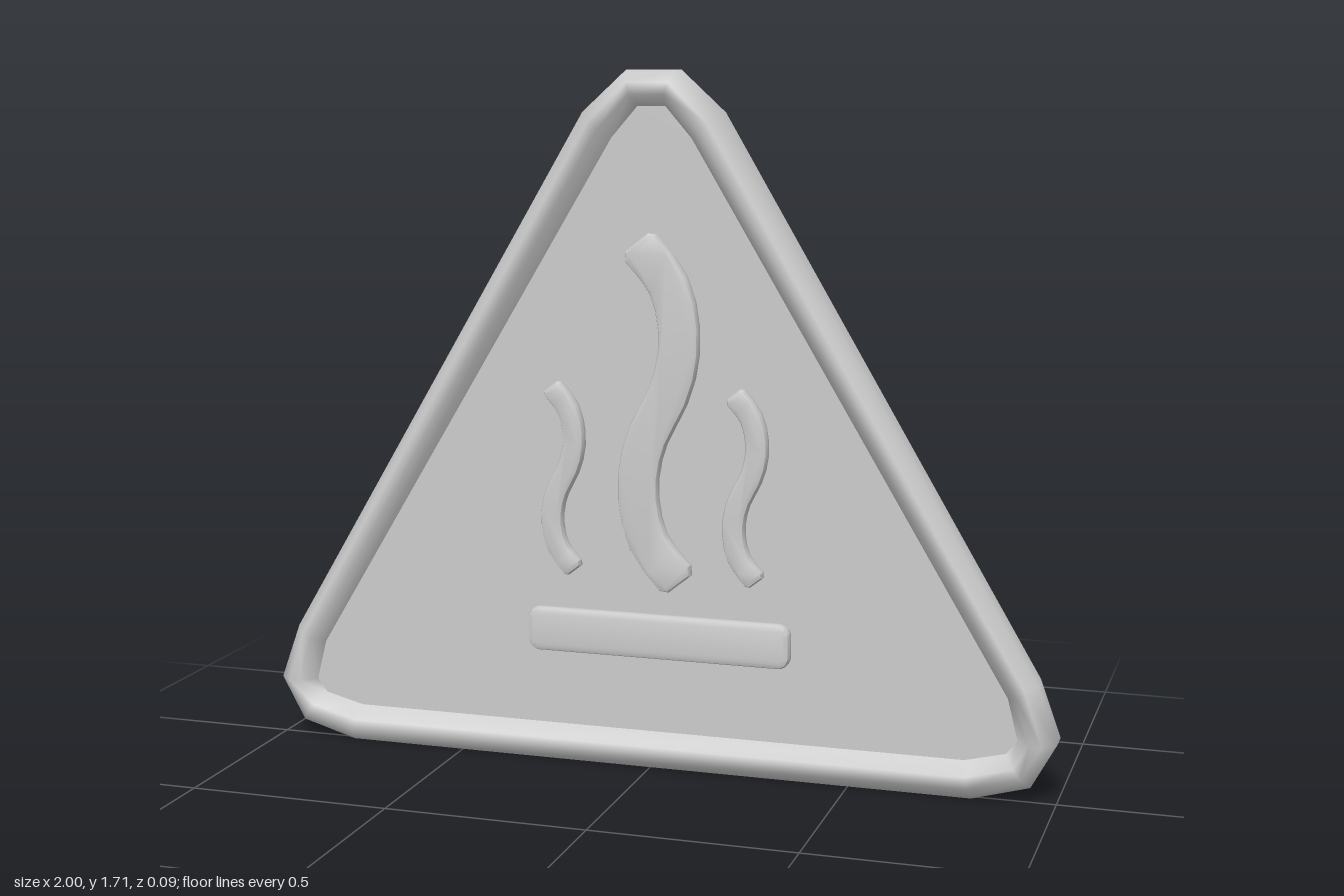
import * as THREE from 'three';
import { toCreasedNormals } from 'three/addons/utils/BufferGeometryUtils.js';

const PANEL_Z = 0.005;

// Right half of each triangle outline, bottom to top; mirrored into a closed counter-clockwise loop
const outerHalf = [[0.8, 0], [0.94, 0.04], [1, 0.15], [0.95, 0.29], [0.17, 1.61], [0.06, 1.71]];
const innerHalf = [[0.78, 0.09], [0.88, 0.115], [0.905, 0.15], [0.88, 0.25], [0.1, 1.55], [0.035, 1.625]];
const mirrored = half => [...half, ...half.map(([x, y]) => [-x, y]).reverse()];

// Rim: a hollow, open-backed shell lofted from the outer to the inner outline
function rimGeometry(outer, inner) {
  const profile = [[0, -0.045], [0, 0.015], [0.34, 0.045], [0.66, 0.045], [1, PANEL_Z]]; // inset, z
  const n = outer.length, positions = [], index = [];
  profile.forEach(([t, z], j) => {
    for (let i = 0; i < n; i++) {
      positions.push(
        THREE.MathUtils.lerp(outer[i][0], inner[i][0], t),
        THREE.MathUtils.lerp(outer[i][1], inner[i][1], t), z);
      if (j === profile.length - 1) continue;
      const a = j * n + i, b = j * n + (i + 1) % n;
      index.push(a, b, b + n, a, b + n, a + n);
    }
  });
  const g = new THREE.BufferGeometry();
  g.setAttribute('position', new THREE.Float32BufferAttribute(positions, 3));
  g.setIndex(index);
  g.computeVertexNormals();
  return g;
}

// Raised symbol: bevelled slab that passes just through the panel
function raised(shape) {
  const bevel = 0.012, back = PANEL_Z - 0.008, front = 0.034;
  const g = new THREE.ExtrudeGeometry(shape, {
    depth: front - back - 2 * bevel, curveSegments: 4,
    bevelThickness: bevel, bevelSize: bevel, bevelOffset: -bevel, bevelSegments: 2,
  });
  g.translate(0, 0, back + bevel);
  return toCreasedNormals(g, 0.6);
}

// S-shaped band of constant width around a centre line, with clipped end corners
function waveShape(cx, cy, scale) {
  const half = [[-0.055, 0.415], [0.025, 0.315], [0.052, 0.19], [0.035, 0.075]];
  const line = [...half, [0, 0], ...half.map(([x, y]) => [-x, -y]).reverse()];
  const curve = new THREE.CatmullRomCurve3(line.map(([x, y]) => new THREE.Vector3(x, y, 0)));
  const steps = 16, left = [], right = [];
  const add = (u, width, push) => {
    const p = curve.getPointAt(u), t = curve.getTangentAt(u);
    const at = s => new THREE.Vector2(
      cx + scale * (p.x + t.x * push - s * t.y * width),
      cy + scale * (p.y + t.y * push + s * t.x * width));
    left.push(at(1));
    right.unshift(at(-1));
  };
  add(0, 0.036, 0);
  for (let i = 0; i <= steps; i++) add(0.02 + 0.96 * i / steps, 0.051, 0);
  add(1, 0.036, 0);
  return new THREE.Shape([...left, ...right]);
}

// Rectangle with rounded corners
function barShape(x0, y0, x1, y1, r) {
  const s = new THREE.Shape();
  s.absarc(x1 - r, y0 + r, r, -Math.PI / 2, 0);
  s.absarc(x1 - r, y1 - r, r, 0, Math.PI / 2);
  s.absarc(x0 + r, y1 - r, r, Math.PI / 2, Math.PI);
  s.absarc(x0 + r, y0 + r, r, Math.PI, Math.PI * 1.5);
  return s;
}

export function createModel() {
  const group = new THREE.Group();
  group.name = 'hotSurfaceSign';
  const material = new THREE.MeshStandardMaterial({ color: 0xcccccc, side: THREE.DoubleSide });
  const add = (name, geometry) => {
    const mesh = new THREE.Mesh(geometry, material);
    mesh.name = name;
    group.add(mesh);
  };

  const outer = mirrored(outerHalf), inner = mirrored(innerHalf);
  add('rim', rimGeometry(outer, inner));

  // Thin panel filling the rim
  const panel = new THREE.ShapeGeometry(new THREE.Shape(inner.map(([x, y]) => new THREE.Vector2(x, y))));
  panel.translate(0, 0, PANEL_Z);
  add('panel', panel);

  // Rising heat waves above a hot plate
  add('middleHeatWave', raised(waveShape(0.022, 0.887, 1)));
  add('rightHeatWave', raised(waveShape(-0.223, 0.717, 0.55)));
  add('leftHeatWave', raised(waveShape(0.24, 0.717, 0.55)));
  add('hotPlateBar', raised(barShape(-0.315, 0.28, 0.355, 0.39, 0.03)));
  return group;
}
